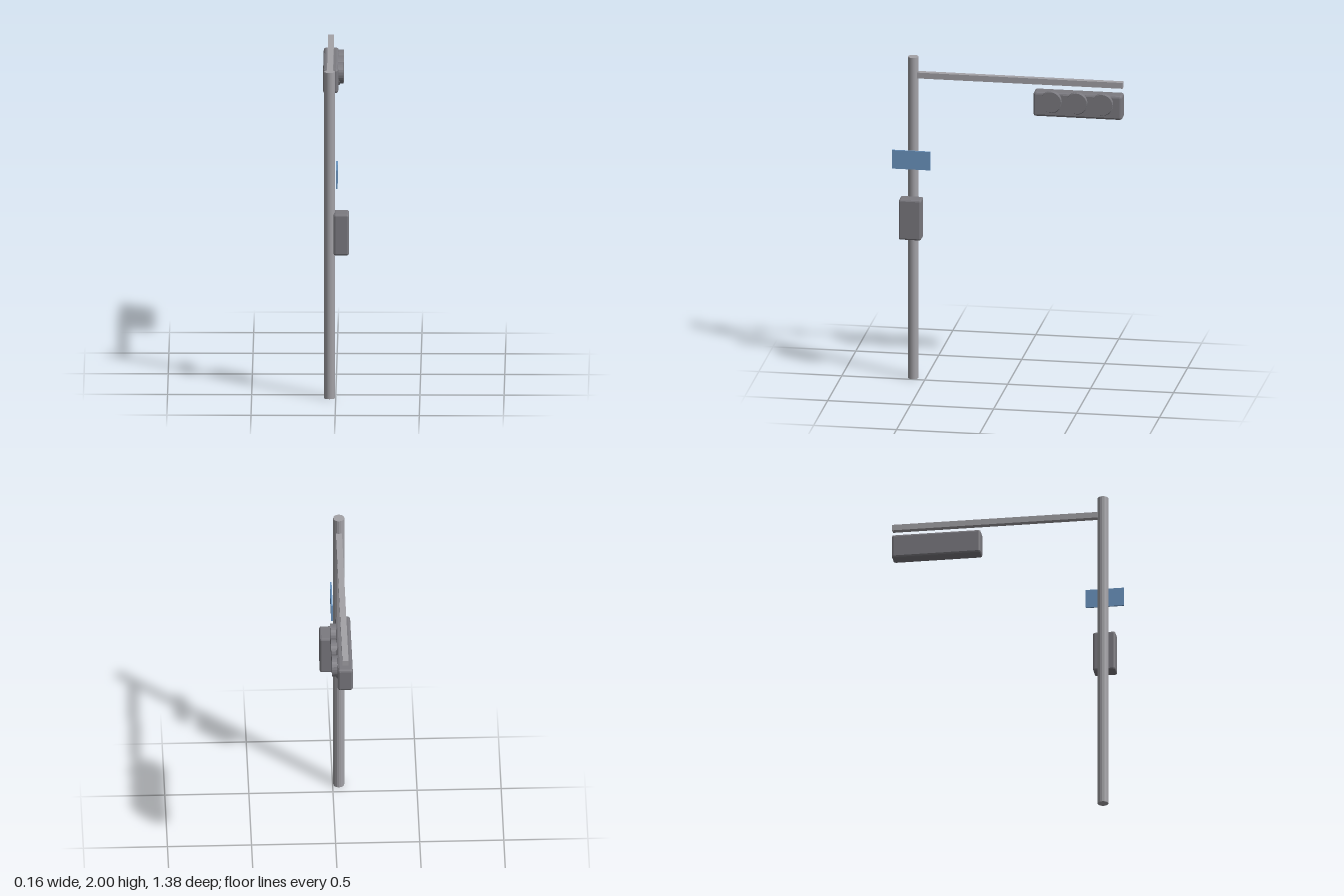
import * as THREE from 'three';
import { RoundedBoxGeometry } from 'three/addons/geometries/RoundedBoxGeometry.js';

function mat(name, color) {
  const m = new THREE.MeshStandardMaterial({ color, flatShading: true });
  m.name = name;
  return m;
}

export function createModel() {
  const group = new THREE.Group();
  const steel = mat('galvanised steel', 0xa3a2a7);
  const housing = mat('housing grey', 0x7b7a80);
  const blue = mat('sign blue', 0x6c96c2);

  const add = (name, geometry, material, x, y, z) => {
    const mesh = new THREE.Mesh(geometry, material);
    mesh.name = name;
    mesh.position.set(x, y, z);
    group.add(mesh);
    return mesh;
  };
  const poleX = -0.037, poleZ = 0.575;

  // Upright pole and the horizontal mast arm reaching to the back
  add('pole', new THREE.CylinderGeometry(0.033, 0.033, 2, 16), steel, poleX, 1, poleZ);
  add('mastArm', new THREE.BoxGeometry(0.036, 0.036, 1.265), steel, poleX, 1.888, -0.0575);

  // Chamfered signal housing, hung just under the arm
  add('signalHousing', new RoundedBoxGeometry(0.09, 0.15, 0.535, 1, 0.013), housing, -0.036, 1.755, -0.4225);

  // Three lamps: a short tapered lens ring with a raised visor disc
  for (const z of [-0.265, -0.42, -0.575]) {
    const ring = add('lensRing', new THREE.CylinderGeometry(0.054, 0.063, 0.016, 24), housing, 0.01, 1.764, z);
    ring.rotation.z = -Math.PI / 2;
    const visor = add('lampVisor', new THREE.CylinderGeometry(0.063, 0.063, 0.034, 24), housing, 0.024, 1.781, z);
    visor.rotation.z = -Math.PI / 2;
  }

  // Control cabinet and blue street sign on the pole
  add('controlBox', new RoundedBoxGeometry(0.09, 0.25, 0.135, 1, 0.01), housing, 0.033, 1.014, 0.577);
  add('streetSign', new THREE.BoxGeometry(0.01, 0.115, 0.23), blue, 0.007, 1.368, 0.58);

  return group;
}
